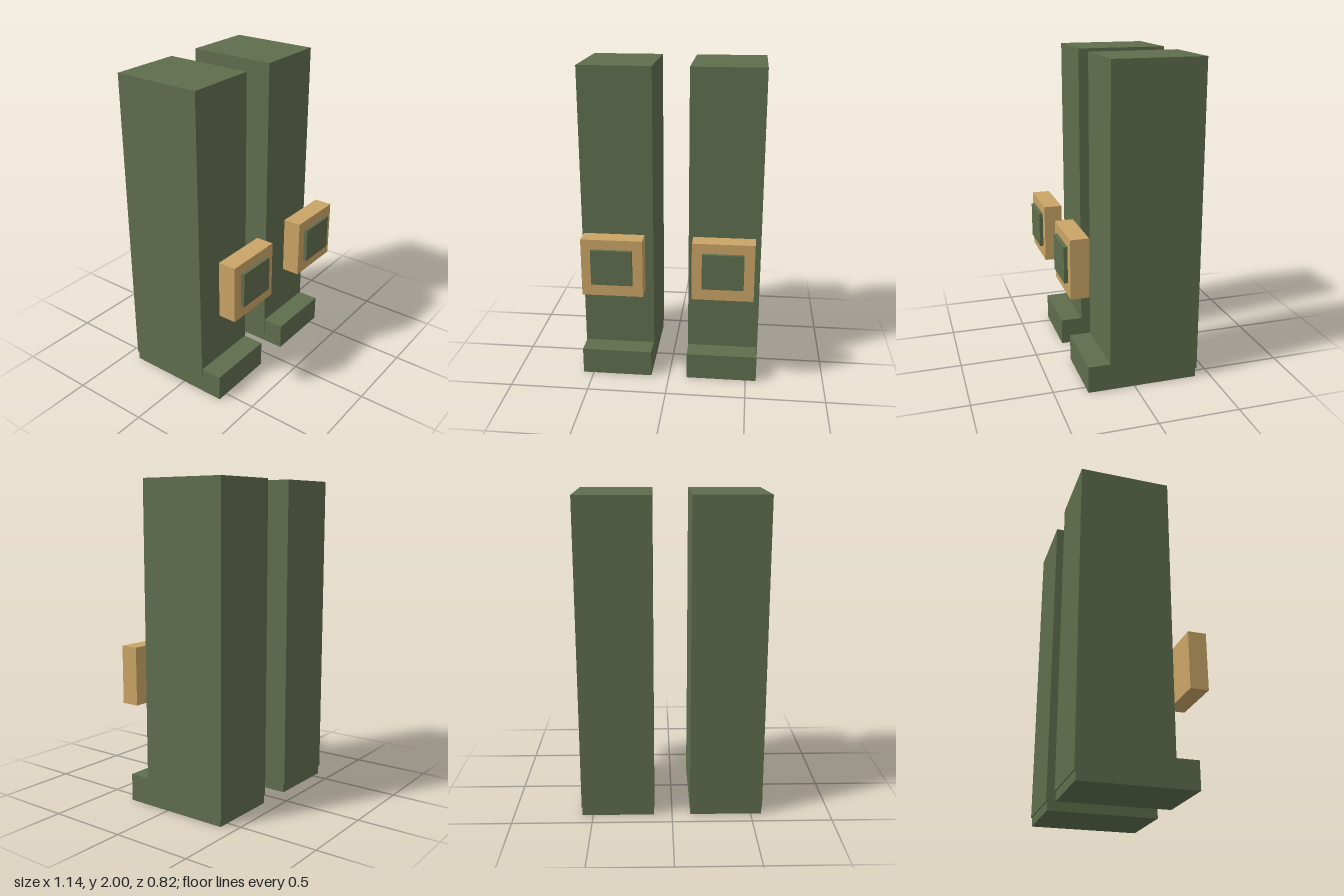
import * as THREE from 'three';

const green = new THREE.MeshStandardMaterial({ name: 'olive green', color: 0x5f6d4d });
const tan = new THREE.MeshStandardMaterial({ name: 'tan', color: 0xc9a465 });

// Box given by its minimum and maximum along each axis
function block(name, material, [x0, x1], [y0, y1], [z0, z1]) {
  const mesh = new THREE.Mesh(new THREE.BoxGeometry(x1 - x0, y1 - y0, z1 - z0), material);
  mesh.name = name;
  mesh.position.set((x0 + x1) / 2, (y0 + y1) / 2, (z0 + z1) / 2);
  return mesh;
}

// One leg, centred on x = 0
function createLeg(name) {
  const leg = new THREE.Group();
  leg.name = name;
  leg.add(
    block('trouserLeg', green, [-0.229, 0.229], [0.057, 2], [-0.412, 0.157]),
    block('foot', green, [-0.226, 0.226], [0, 0.171], [-0.405, 0.295]),
    // Knee pad floating ahead of the leg, with a raised centre plate
    block('kneePad', tan, [-0.191, 0.191], [0.612, 0.98], [0.274, 0.389]),
    block('kneePadCentre', green, [-0.128, 0.128], [0.692, 0.918], [0.35, 0.412])
  );
  return leg;
}

export function createModel() {
  const model = new THREE.Group();
  model.name = 'legs';
  for (const [name, side] of [['leftLeg', 1], ['rightLeg', -1]]) {
    const leg = createLeg(name);
    leg.position.x = side * 0.342;
    model.add(leg);
  }
  return model;
}
